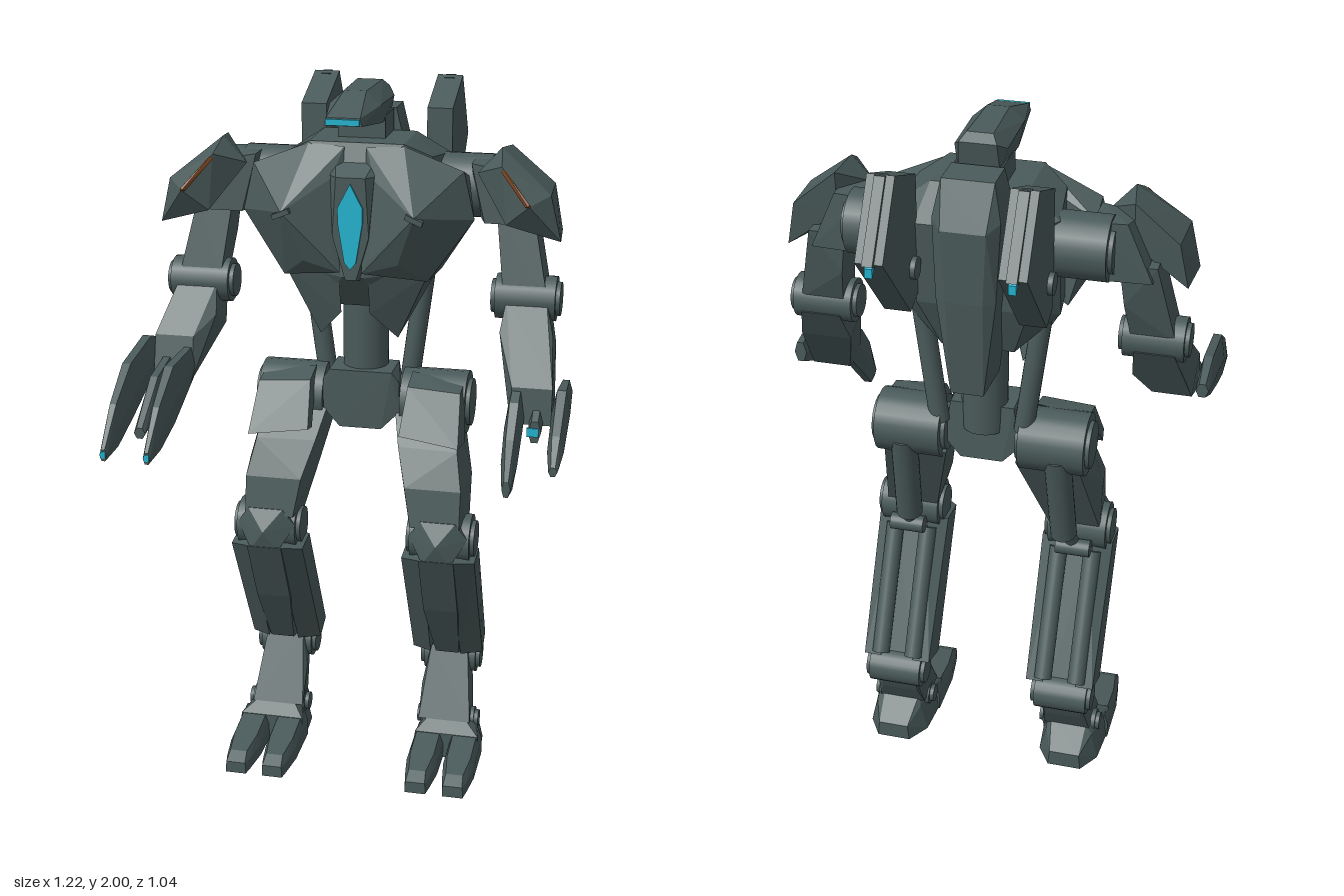
import * as THREE from 'three';
import { ConvexGeometry } from 'three/addons/geometries/ConvexGeometry.js';

const mat = (name, color) => Object.assign(new THREE.MeshStandardMaterial({ color }), { name });

export function createModel() {
  const root = new THREE.Group();
  root.name = 'bipedRobot';
  const armour = mat('darkArmour', 0x4a5a5a);
  const glow = mat('cyanGlow', 0x22b4d0);
  const rust = mat('orangeTrim', 0x7c441e);

  const add = (name, geo, m = armour) => {
    const mesh = new THREE.Mesh(geo, m);
    mesh.name = name;
    root.add(mesh);
    return mesh;
  };
  // faceted solid round a few corner points; s mirrors it across x
  const hull = (name, pts, s = 1, m = armour) =>
    add(name, new ConvexGeometry(pts.map(p => new THREE.Vector3(p[0] * s, p[1], p[2]))), m);
  // points on both sides of the middle plane
  const both = pts => pts.flatMap(p => [p, [-p[0], p[1], p[2]]]);
  // side profile [z, y] widened along x
  const prism = (name, profile, x, w, m = armour) =>
    hull(name, profile.flatMap(([z, y]) => [[x - w, y, z], [x + w, y, z]]), 1, m);
  // tapering solid along z from rows of [z, top, bottom, half width]
  const blade = (name, x, rows) =>
    hull(name, rows.flatMap(([z, t, b, w]) => [[x - w * 0.5, t, z], [x + w * 0.5, t, z],
      [x - w, (t + b) / 2, z], [x + w, (t + b) / 2, z], [x - w * 0.5, b, z], [x + w * 0.5, b, z]]));
  // cylinder between two points
  const rod = (name, a, b, r, s = 1) => {
    const A = new THREE.Vector3(a[0] * s, a[1], a[2]), B = new THREE.Vector3(b[0] * s, b[1], b[2]);
    const d = B.clone().sub(A);
    const mesh = add(name, new THREE.CylinderGeometry(r, r, d.length(), 20));
    mesh.position.copy(A).add(B).multiplyScalar(0.5);
    mesh.quaternion.setFromUnitVectors(new THREE.Vector3(0, 1, 0), d.normalize());
    return mesh;
  };
  // pivot lying along x, with a narrower cap at each end
  const joint = (name, x0, x1, y, z, r, s) => {
    rod(name, [x0 + 0.012, y, z], [x1 - 0.012, y, z], r, s);
    rod(name + 'Cap', [x0, y, z], [x1, y, z], r * 0.75, s);
  };
  const lamp = (name, w, h, x, y, z) =>
    add(name, new THREE.BoxGeometry(w, h, 0.008), glow).position.set(x, y, z);

  // head, visor and neck
  hull('head', both([[0.05, 1.935, 0.215], [0.045, 1.955, 0.21], [0.03, 2, 0.06], [0.035, 2, -0.13],
    [0.07, 1.965, 0.06], [0.07, 1.96, -0.12], [0.065, 1.91, 0.02], [0.055, 1.9, -0.14], [0.05, 1.98, -0.155]]));
  lamp('visor', 0.09, 0.016, 0, 1.945, 0.218);
  prism('neck', [[-0.02, 1.84], [-0.02, 1.92], [-0.14, 1.92], [-0.14, 1.84]], 0, 0.065);

  // torso core
  hull('torso', both([[0.13, 1.86, 0.05], [0.13, 1.86, -0.14], [0.2, 1.82, 0.0], [0.22, 1.8, -0.17],
    [0.15, 1.78, -0.235], [0.15, 1.55, -0.22], [0.22, 1.52, -0.14], [0.2, 1.52, 0.04], [0.1, 1.4, 0.02],
    [0.1, 1.4, -0.16], [0.04, 1.78, 0.08], [0.03, 1.5, 0.1]]));
  // breastbone and its crystal
  hull('breastbone', both([[0.06, 1.78, 0.1], [0.05, 1.62, 0.125], [0.015, 1.5, 0.125], [0.04, 1.78, 0.125],
    [0.06, 1.83, 0.03], [0.03, 1.48, 0.04]]));
  const crystal = new THREE.Shape([[0, 1.765], [0.034, 1.7], [0.034, 1.66], [0.016, 1.55], [0, 1.53],
    [-0.016, 1.55], [-0.034, 1.66], [-0.034, 1.7]].map(p => new THREE.Vector2(...p)));
  add('chestCrystal', new THREE.ExtrudeGeometry(crystal, { depth: 0.008, bevelEnabled: false }), glow)
    .position.z = 0.124;

  // waist and pelvis
  rod('waist', [0, 1.12, -0.085], [0, 1.45, -0.085], 0.065);
  hull('pelvis', both([[0.09, 1.2, 0.0], [0.11, 1.17, -0.01], [0.11, 1.08, -0.01], [0.06, 1.03, 0.0],
    [0.09, 1.2, -0.12], [0.11, 1.08, -0.12], [0.06, 1.03, -0.13]]));

  // spine pack
  hull('backPack', both([[0.07, 1.92, -0.15], [0.07, 1.92, -0.25], [0.09, 1.84, -0.15], [0.09, 1.82, -0.27],
    [0.06, 1.8, -0.305], [0.09, 1.6, -0.15], [0.08, 1.6, -0.28], [0.06, 1.34, -0.16], [0.045, 1.32, -0.18],
    [0.045, 1.32, -0.275], [0.05, 1.6, -0.3]]));

  for (const s of [1, -1]) {
    const side = s > 0 ? 'left' : 'right';

    // chest and belly plates
    hull(side + 'ChestPlate', [[0.03, 1.85, 0.06], [0.13, 1.855, 0.05], [0.29, 1.79, 0.03], [0.32, 1.66, 0.03],
      [0.18, 1.69, 0.175], [0.06, 1.77, 0.1], [0.05, 1.56, 0.13], [0.03, 1.52, 0.125], [0.2, 1.49, 0.06],
      [0.13, 1.55, 0.13], [0.29, 1.76, -0.06], [0.22, 1.5, -0.05]], s);
    hull(side + 'BellyPlate', [[0.2, 1.51, 0.05], [0.04, 1.5, 0.09], [0.04, 1.39, 0.06], [0.11, 1.31, 0.01],
      [0.21, 1.5, -0.1], [0.1, 1.32, -0.06]], s);
    const latch = add(side + 'ChestLatch', new THREE.BoxGeometry(0.05, 0.014, 0.02));
    latch.position.set(0.18 * s, 1.685, 0.168);
    latch.rotation.z = -0.4 * s;

    // back fin, its pivot and lamp
    prism(side + 'Fin', [[-0.22, 1.91], [-0.39, 1.975], [-0.51, 1.79], [-0.29, 1.555], [-0.22, 1.58]], 0.18 * s, 0.036);
    prism(side + 'FinSpine', [[-0.37, 1.97], [-0.4, 1.975], [-0.525, 1.79], [-0.5, 1.78]], 0.18 * s, 0.014);
    prism(side + 'FinLamp', [[-0.495, 1.79], [-0.515, 1.78], [-0.515, 1.755], [-0.5, 1.765]], 0.18 * s, 0.01, glow);
    rod(side + 'FinPivot', [0.13, 1.67, -0.265], [0.23, 1.67, -0.265], 0.03, s);

    // waist strut
    rod(side + 'WaistStrut', [0.18, 1.6, -0.12], [0.12, 1.14, -0.125], 0.028, s);

    // shoulder
    joint(side + 'Shoulder', 0.18, 0.36, 1.72, -0.13, 0.088, s);
    hull(side + 'ShoulderYoke', [[0.3, 1.8, -0.16], [0.39, 1.8, -0.15], [0.3, 1.8, -0.03], [0.41, 1.78, -0.03],
      [0.3, 1.64, -0.16], [0.46, 1.64, -0.15], [0.34, 1.64, -0.02], [0.46, 1.64, -0.02]], s);
    hull(side + 'Pauldron', [[0.385, 1.852, -0.01], [0.4, 1.84, -0.11], [0.32, 1.78, -0.01], [0.395, 1.815, 0.065],
      [0.475, 1.72, 0.105], [0.525, 1.74, 0.045], [0.555, 1.615, 0.04], [0.545, 1.615, -0.1], [0.52, 1.74, -0.11],
      [0.41, 1.66, 0.07], [0.4, 1.72, -0.1]], s);
    // trim lies along the front ridge of the pauldron
    hull(side + 'PauldronTrim', [[0.4, 1.81, 0.071], [0.408, 1.804, 0.07], [0.394, 1.802, 0.07], [0.476, 1.727, 0.107],
      [0.48, 1.717, 0.104], [0.464, 1.719, 0.104], [0.405, 1.805, 0.075], [0.471, 1.722, 0.11]], s, rust);

    // upper arm and elbow
    hull(side + 'UpperArm', [[0.37, 1.68, -0.14], [0.47, 1.68, -0.14], [0.37, 1.68, -0.04], [0.47, 1.68, -0.04],
      [0.4, 1.45, -0.09], [0.52, 1.45, -0.09], [0.4, 1.45, 0.01], [0.52, 1.45, 0.01], [0.385, 1.56, -0.13]], s);
    joint(side + 'Elbow', 0.365, 0.555, 1.435, -0.04, 0.062, s);

    // forearm and three-bladed hand; the right one is raised further forward
    const raised = s < 0;
    const wrist = raised ? [[1.31, 0.12], [1.19, 0.15], [1.24, 0.0]] : [[1.24, 0.16], [1.14, 0.17], [1.15, 0.08]];
    hull(side + 'Forearm', [[0.41, 1.44, 0.01], [0.52, 1.44, 0.01], [0.41, 1.41, -0.1], [0.52, 1.41, -0.1],
      [0.4, 1.36, 0.06], [0.545, 1.36, 0.06], [0.4, 1.31, -0.04], [0.545, 1.31, -0.04],
      ...wrist.flatMap(([y, z]) => [[0.45, y, z], [0.56, y, z]])], s);
    if (raised) {
      blade('rightOuterFinger', -0.585, [[0.02, 1.27, 1.23, 0.018], [0.12, 1.305, 1.185, 0.025],
        [0.3, 1.28, 1.125, 0.024], [0.42, 1.205, 1.085, 0.018], [0.515, 1.11, 1.078, 0.01]]);
      blade('rightInnerFinger', -0.465, [[0.08, 1.28, 1.2, 0.02], [0.3, 1.28, 1.12, 0.025],
        [0.42, 1.205, 1.085, 0.018], [0.515, 1.11, 1.078, 0.01]]);
      blade('rightThumb', -0.525, [[0.08, 1.26, 1.2, 0.02], [0.25, 1.23, 1.13, 0.022], [0.39, 1.13, 1.1, 0.016]]);
      for (const x of [-0.465, -0.585]) lamp('rightFingerLamp', 0.014, 0.018, x, 1.096, 0.514);
    } else {
      blade('leftOuterFinger', 0.585, [[0.04, 1.23, 1.17, 0.018], [0.16, 1.24, 1.11, 0.025],
        [0.27, 1.15, 1.06, 0.022], [0.32, 1.08, 1.055, 0.012]]);
      blade('leftInnerFinger', 0.463, [[0.1, 1.26, 1.16, 0.022], [0.2, 1.21, 1.06, 0.025],
        [0.27, 1.13, 0.99, 0.022], [0.32, 1.03, 0.985, 0.012]]);
      blade('leftThumb', 0.52, [[0.1, 1.22, 1.15, 0.02], [0.2, 1.16, 1.1, 0.018]]);
      lamp('leftPalmLamp', 0.032, 0.024, 0.515, 1.13, 0.2);
    }

    // hip and its front guard
    joint(side + 'Hip', 0.1, 0.31, 1.1, -0.09, 0.09, s);
    hull(side + 'HipGuard', [[0.14, 1.19, -0.06], [0.29, 1.17, -0.06], [0.14, 1.17, 0.02], [0.29, 1.16, 0.02],
      [0.13, 1.05, 0.1], [0.3, 1.03, 0.115], [0.13, 1.04, 0.05], [0.31, 1.03, 0.05]], s);

    // thigh and rear piston
    hull(side + 'Thigh', [[0.1, 1.08, -0.01], [0.28, 1.08, -0.01], [0.1, 1.04, -0.14], [0.28, 1.04, -0.14],
      [0.12, 1.0, 0.05], [0.29, 1.0, 0.06], [0.15, 0.9, 0.11], [0.31, 0.9, 0.11], [0.325, 0.92, 0.0],
      [0.12, 0.92, 0.0], [0.17, 0.79, 0.13], [0.31, 0.79, 0.13], [0.17, 0.76, 0.0], [0.32, 0.76, 0.0],
      [0.17, 0.9, -0.06], [0.3, 0.9, -0.06]], s);
    rod(side + 'ThighPiston', [0.22, 1.08, -0.145], [0.23, 0.785, -0.08], 0.038, s);
    rod(side + 'ThighPistonRod', [0.23, 0.82, -0.075], [0.25, 0.7, -0.02], 0.02, s);
    rod(side + 'KneePin', [0.2, 0.71, -0.035], [0.3, 0.71, -0.035], 0.025, s);

    // knee with cap
    joint(side + 'Knee', 0.155, 0.35, 0.74, 0.055, 0.07, s);
    hull(side + 'KneeCap', [[0.2, 0.81, 0.13], [0.3, 0.81, 0.13], [0.165, 0.76, 0.12], [0.335, 0.76, 0.12],
      [0.21, 0.69, 0.15], [0.29, 0.69, 0.15], [0.2, 0.8, 0.05], [0.3, 0.8, 0.05], [0.25, 0.75, 0.165]], s);

    // shin: middle beam between two side shells, plus calf pistons
    hull(side + 'Shin', [[0.2, 0.7, 0.155], [0.3, 0.7, 0.155], [0.2, 0.69, 0.02], [0.3, 0.69, 0.02],
      [0.2, 0.5, 0.055], [0.3, 0.5, 0.055], [0.22, 0.31, -0.06], [0.29, 0.31, -0.06],
      [0.21, 0.3, -0.17], [0.3, 0.3, -0.17]], s);
    for (const d of [1, -1]) {
      const x = k => 0.25 + d * k;
      hull(side + 'ShinShell', [[x(0.04), 0.7, 0.155], [x(0.105), 0.69, 0.12], [x(0.105), 0.7, 0.03],
        [x(0.05), 0.7, 0.0], [x(0.105), 0.3, -0.1], [x(0.045), 0.31, -0.055],
        [x(0.1), 0.32, -0.19], [x(0.05), 0.32, -0.19]], s);
      rod(side + 'CalfPiston', [x(0.05), 0.68, 0.0], [x(0.05), 0.33, -0.185], 0.026, s);
    }

    // ankle, lower leg and foot pivot
    joint(side + 'Ankle', 0.165, 0.345, 0.265, -0.155, 0.055, s);
    hull(side + 'LowerLeg', [[0.2, 0.31, -0.1], [0.31, 0.31, -0.1], [0.2, 0.28, -0.2], [0.31, 0.28, -0.2],
      [0.18, 0.2, -0.06], [0.325, 0.2, -0.06], [0.18, 0.11, 0.0], [0.335, 0.11, 0.0],
      [0.19, 0.1, -0.11], [0.33, 0.1, -0.11], [0.2, 0.17, -0.15], [0.31, 0.17, -0.15]], s);
    joint(side + 'FootPivot', 0.17, 0.355, 0.095, -0.06, 0.035, s);

    // foot: heel and two tapering toes
    hull(side + 'Heel', [[0.17, 0, 0.03], [0.37, 0, 0.03], [0.175, 0.08, 0.03], [0.365, 0.08, 0.03],
      [0.18, 0, -0.12], [0.36, 0, -0.12], [0.22, 0, -0.185], [0.32, 0, -0.185],
      [0.225, 0.05, -0.185], [0.315, 0.05, -0.185], [0.2, 0.085, -0.12], [0.34, 0.085, -0.12],
      [0.21, 0.115, -0.01], [0.32, 0.115, -0.01], [0.21, 0.115, -0.1], [0.32, 0.115, -0.1]], s);
    for (const x of [0.215, 0.325])
      hull(side + 'Toe', [[-0.02, 0.085, 0.046, 0.035], [0.13, 0.065, 0.046, 0.035], [0.21, 0.055, 0.036, 0.025],
        [0.245, 0.035, 0.03, 0.028]].flatMap(([z, top, base, crown]) => [-1, 1].flatMap(d =>
        [[x + d * base, 0, z], [x + d * base, top * 0.6, z], [x + d * crown, top, z]])), s);
  }
  return root;
}
